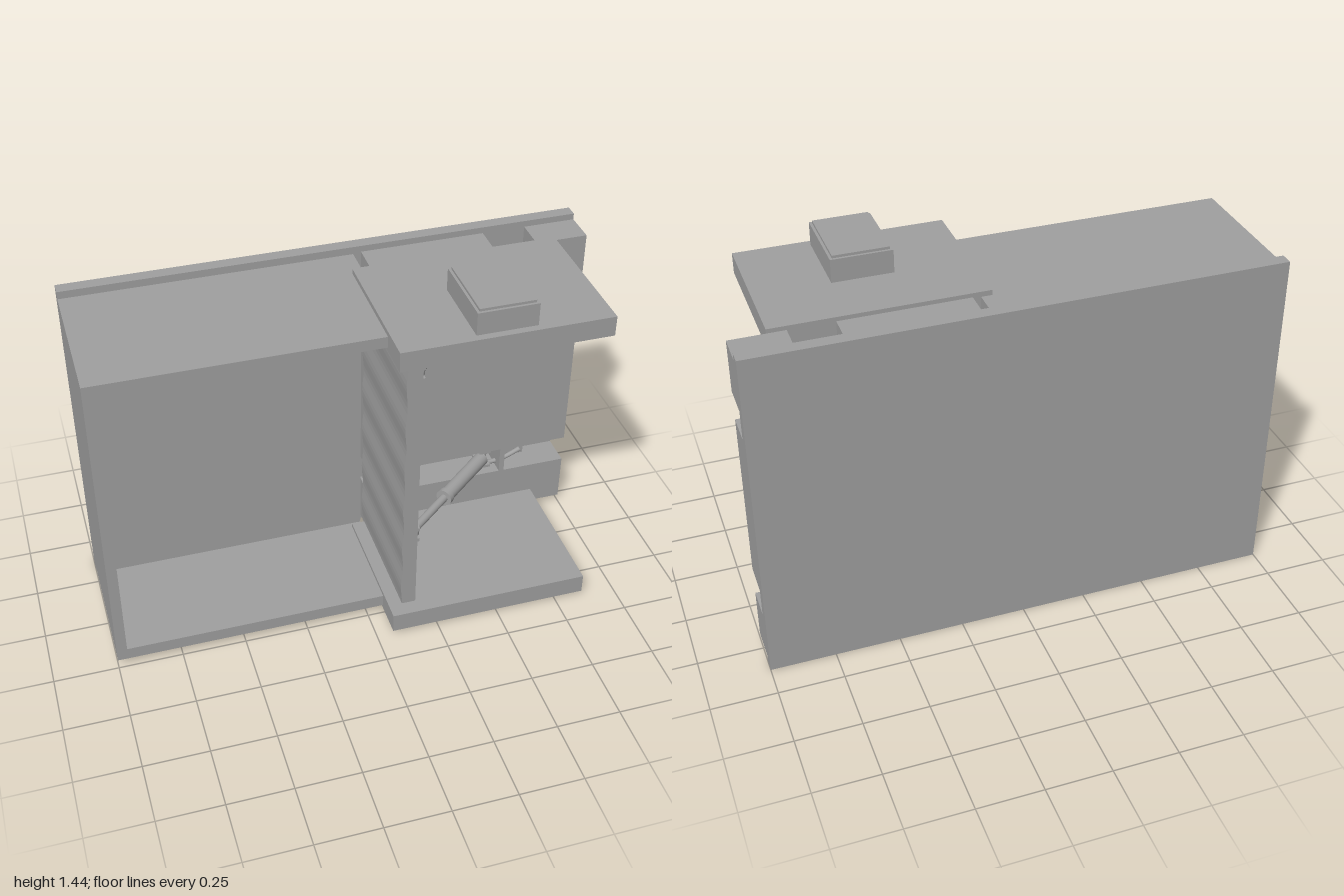
import * as THREE from 'three';

const steel = new THREE.MeshStandardMaterial({ color: 0xa0a0a0 });
steel.name = 'steelGrey';

function add(parent, name, geometry) {
  const mesh = new THREE.Mesh(geometry, steel);
  mesh.name = name;
  parent.add(mesh);
  return mesh;
}

// Box given by its limits on each axis
function box(parent, name, x0, x1, y0, y1, z0, z1) {
  const mesh = add(parent, name, new THREE.BoxGeometry(x1 - x0, y1 - y0, z1 - z0));
  mesh.position.set((x0 + x1) / 2, (y0 + y1) / 2, (z0 + z1) / 2);
  return mesh;
}

// Cylinder between two points
function rod(parent, name, a, b, radius, sides = 24) {
  const dir = b.clone().sub(a);
  const mesh = add(parent, name, new THREE.CylinderGeometry(radius, radius, dir.length(), sides));
  mesh.position.copy(a).add(b).multiplyScalar(0.5);
  mesh.quaternion.setFromUnitVectors(new THREE.Vector3(0, 1, 0), dir.normalize());
  return mesh;
}

const V = (x, y, z) => new THREE.Vector3(x, y, z);

function rectPath(path, x0, x1, y0, y1) {
  path.moveTo(x0, y0);
  path.lineTo(x1, y0);
  path.lineTo(x1, y1);
  path.lineTo(x0, y1);
  path.closePath();
  return path;
}

function buildBin() {
  const g = new THREE.Group();
  g.name = 'bin';
  box(g, 'binFloor', -1, 0.107, 0.03, 1.32, -0.325, -0.215);
  box(g, 'binEndWall', -1, -0.96, 0.03, 1.32, -0.215, 0.24);
  box(g, 'binLowerWall', -0.96, 0.107, 0.03, 0.08, -0.215, 0.24);
  box(g, 'binUpperWall', -0.96, 0.107, 1.275, 1.32, -0.215, 0.24);
  return g;
}

// Thick bed with two long slots and a notch in its upper edge
function buildBed() {
  const g = new THREE.Group();
  g.name = 'bed';
  const z0 = -0.325, z1 = -0.197;
  box(g, 'bedLower', 0.138, 1, 0.03, 0.23, z0, z1);
  box(g, 'bedMiddle', 0.138, 1, 0.345, 1.01, z0, z1);
  const upper = new THREE.Shape([
    [0.138, 1.125], [1, 1.125], [1, 1.325], [0.795, 1.325], [0.795, 1.145],
    [0.625, 1.145], [0.625, 1.325], [0.138, 1.325],
  ].map(p => new THREE.Vector2(...p)));
  add(g, 'bedUpper', new THREE.ExtrudeGeometry(upper, { depth: z1 - z0, bevelEnabled: false }))
    .position.z = z0;
  for (const y of [0.23, 1.01]) {
    box(g, 'slotWall', 0.713, 0.735, y, y + 0.115, z0, z1);
    box(g, 'slotBlock', 0.735, 0.84, y + 0.03, y + 0.09, z0, -0.255);
  }
  // Plugs standing in the notch
  for (const y of [1.178, 1.226]) {
    rod(g, 'plug', V(0.71, y, -0.29), V(0.71, y, -0.165), 0.007, 16);
    rod(g, 'plugHead', V(0.71, y, -0.168), V(0.71, y, -0.152), 0.011, 16);
  }
  box(g, 'plugBase', 0.69, 0.73, 1.16, 1.245, z0, -0.29);
  return g;
}

// Ribbed gate with three tall pockets on its right-hand face
function buildGate() {
  const g = new THREE.Group();
  g.name = 'gate';
  // Profile drawn with -z along its x axis, then turned to face +x
  const frame = rectPath(new THREE.Shape(), -0.325, 0.205, 0.105, 1.25);
  for (const [a, b] of [[-0.295, -0.137], [-0.1, 0.02], [0.055, 0.17]])
    frame.holes.push(rectPath(new THREE.Path(), a, b, 0.14, 1.22));
  const geo = new THREE.ExtrudeGeometry(frame, { depth: 0.045, bevelEnabled: false });
  geo.rotateY(Math.PI / 2);
  add(g, 'gateFrame', geo).position.x = 0.125;

  // Gently rippled sheet on the bin side
  const sheet = new THREE.Shape();
  sheet.moveTo(0.125, 0.105);
  sheet.lineTo(0.125, 1.25);
  for (let i = 48; i >= 0; i--)
    sheet.lineTo(0.112 + 0.003 * Math.cos(i * Math.PI / 4), 0.105 + 1.145 * i / 48);
  const sheetGeo = new THREE.ExtrudeGeometry(sheet, { depth: 0.53, bevelEnabled: false });
  add(g, 'gateSheet', sheetGeo).position.z = -0.205;

  for (const y of [0.27, 1.05]) box(g, 'gateCrossRib', 0.125, 0.17, y, y + 0.038, 0.137, 0.295);
  for (const y of [0.096, 1.25]) box(g, 'gateTab', 0.13, 0.22, y, y + 0.009, -0.035, 0.09);
  return g;
}

function buildCylinder(y) {
  const g = new THREE.Group();
  g.name = 'hydraulicCylinder';
  g.position.y = y;
  const front = V(0.225, 0, 0.122), back = V(0.655, 0, -0.237);
  const at = t => front.clone().lerp(back, t);
  rod(g, 'pistonRod', at(0), at(0.5), 0.017);
  rod(g, 'barrel', at(0.44), at(0.97), 0.03);
  rod(g, 'barrelCollar', at(0.42), at(0.46), 0.035);
  // Fork and pin on the gate
  rod(g, 'rodEye', V(0.225, -0.017, 0.122), V(0.225, 0.017, 0.122), 0.023);
  rod(g, 'gatePin', V(0.225, -0.042, 0.122), V(0.225, 0.042, 0.122), 0.012);
  box(g, 'forkBase', 0.165, 0.19, -0.036, 0.036, 0.085, 0.157);
  for (const s of [-1, 1])
    box(g, 'forkEar', 0.17, 0.24, s * 0.026 - 0.008, s * 0.026 + 0.008, 0.085, 0.157);
  // Mount in the bed slot
  rod(g, 'bedPin', V(0.655, -0.045, -0.237), V(0.655, 0.045, -0.237), 0.012);
  for (const s of [-1, 1])
    box(g, 'mountEar', 0.63, 0.68, s * 0.037 - 0.006, s * 0.037 + 0.006, -0.325, -0.215);
  // Hose running through the slot wall
  const path = new THREE.CatmullRomCurve3([
    V(0.64, -0.02, -0.235), V(0.67, -0.038, -0.243), V(0.71, -0.04, -0.245),
    V(0.76, -0.028, -0.245), V(0.82, 0, -0.245),
  ]);
  add(g, 'hose', new THREE.TubeGeometry(path, 24, 0.01, 12, false));
  rod(g, 'hoseEnd', V(0.812, -0.004, -0.245), V(0.821, 0.0005, -0.245), 0.0105, 12);
  return g;
}

export function createModel() {
  const model = new THREE.Group();
  model.name = 'pressUnit';
  box(model, 'backPlate', -1, 1, 0, 1.35, -0.375, -0.325);
  model.add(buildBin(), buildBed(), buildGate());
  for (const y of [0.29, 1.07]) model.add(buildCylinder(y));

  // Side plates and the housing above them
  box(model, 'lowerSidePlate', 0.065, 0.865, 0.015, 0.095, -0.195, 0.375);
  box(model, 'upperSidePlate', 0.065, 0.865, 1.26, 1.34, -0.195, 0.375);
  box(model, 'housing', 0.35, 0.58, 1.34, 1.43, 0.04, 0.347);
  box(model, 'housingCap', 0.36, 0.57, 1.43, 1.44, 0.05, 0.337);
  return model;
}
